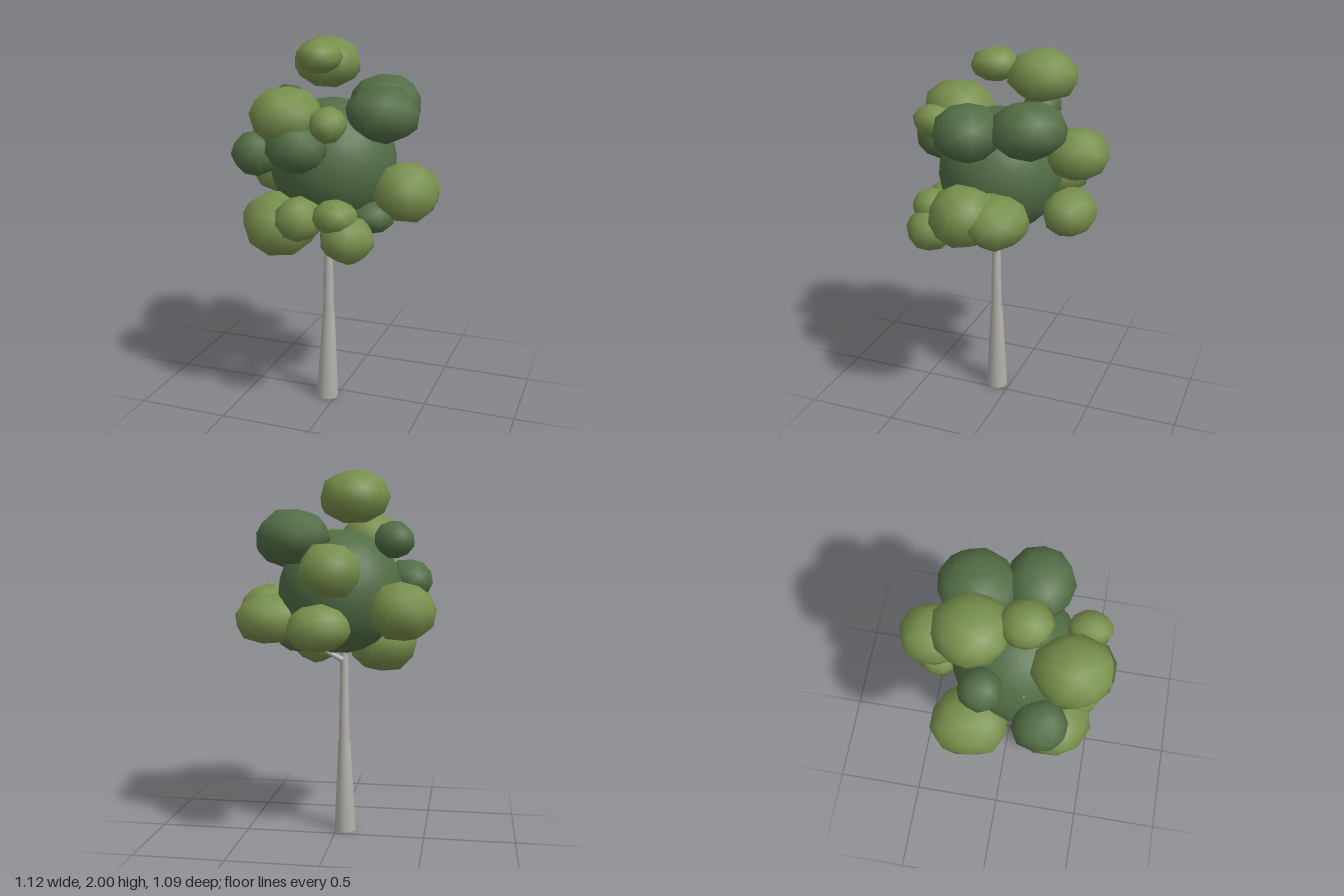
import * as THREE from 'three';
import { mergeVertices } from 'three/addons/utils/BufferGeometryUtils.js';

const lightLeaf = new THREE.MeshStandardMaterial({ color: 0x788f4c });
lightLeaf.name = 'lightLeaf';
const darkLeaf = new THREE.MeshStandardMaterial({ color: 0x526d45 });
darkLeaf.name = 'darkLeaf';
const bark = new THREE.MeshStandardMaterial({ color: 0xb7b4ad });
bark.name = 'bark';

// Seeded random numbers for the slightly uneven leaf clumps
function seeded(seed) {
  let s = seed * 7919 + 17;
  return () => (s = (s * 16807) % 2147483647) / 2147483647;
}

// Join all corners so that shading can run smoothly over every edge
function weld(geo) {
  geo.deleteAttribute('uv');
  geo.deleteAttribute('normal');
  return mergeVertices(geo, 1e-4);
}

// Smooth-shaded low-poly sphere, turned and roughened, then stretched to its radii
function clump(name, material, [x, y, z, rx, ry, rz], seed, detail = 1, rough = 0.05) {
  const rand = seeded(seed);
  const geo = weld(new THREE.IcosahedronGeometry(1, detail));
  geo.rotateX(rand() * 6).rotateY(rand() * 6);
  const p = geo.attributes.position;
  for (let i = 0; i < p.count; i++) {
    const k = 1.025 + (rand() - 0.5) * 2 * rough;
    p.setXYZ(i, p.getX(i) * k * rx, p.getY(i) * k * ry, p.getZ(i) * k * rz);
  }
  geo.computeVertexNormals();
  const mesh = new THREE.Mesh(geo, material);
  mesh.name = name;
  mesh.position.set(x, y, z);
  return mesh;
}

// Tapered round limb between two points, shaded smoothly over its ends
function limb(name, from, to, r0, r1) {
  const a = new THREE.Vector3(...from);
  const d = new THREE.Vector3(...to).sub(a);
  const geo = weld(new THREE.CylinderGeometry(r1, r0, d.length(), 12));
  geo.computeVertexNormals();
  const mesh = new THREE.Mesh(geo, bark);
  mesh.name = name;
  mesh.position.copy(a).addScaledVector(d, 0.5);
  mesh.quaternion.setFromUnitVectors(new THREE.Vector3(0, 1, 0), d.normalize());
  return mesh;
}

// Each clump: centre x, y, z, then radii x, y, z
const lightClumps = [
  [-0.13, 1.86, -0.155, 0.182, 0.135, 0.182],
  [-0.08, 1.91, 0.09, 0.12, 0.088, 0.125],
  [-0.165, 1.635, 0.335, 0.177, 0.15, 0.195],
  [0.07, 1.615, 0.38, 0.09, 0.09, 0.11],
  [-0.38, 1.27, -0.14, 0.18, 0.155, 0.2],
  [-0.035, 1.49, -0.38, 0.16, 0.14, 0.165],
  [0.03, 1.195, -0.37, 0.165, 0.12, 0.14],
  [0.385, 1.235, 0.08, 0.17, 0.155, 0.175],
  [0.345, 1.215, -0.075, 0.195, 0.135, 0.165],
  [-0.24, 1.06, 0.265, 0.2, 0.17, 0.2],
  [-0.09, 1.125, 0.37, 0.12, 0.115, 0.125],
  [0.165, 1.04, 0.37, 0.14, 0.12, 0.13],
  [0.11, 1.155, 0.39, 0.115, 0.09, 0.1],
];
const darkClumps = [
  [0.19, 1.655, -0.19, 0.195, 0.143, 0.195],
  [0.265, 1.635, 0.105, 0.19, 0.145, 0.175],
  [-0.33, 1.64, -0.085, 0.105, 0.095, 0.105],
  [-0.385, 1.415, 0.215, 0.135, 0.115, 0.14],
  [-0.09, 1.495, 0.4, 0.155, 0.125, 0.145],
  [0.22, 1.105, 0.13, 0.12, 0.09, 0.14],
];

export function createModel() {
  const tree = new THREE.Group();
  tree.name = 'tree';

  // Trunk in two steps, with branches running into the crown
  tree.add(
    limb('lowerTrunk', [-0.05, 0, 0.077], [-0.043, 0.515, 0.075], 0.062, 0.034),
    limb('upperTrunk', [-0.043, 0.505, 0.075], [-0.042, 1.04, 0.075], 0.031, 0.021),
    limb('sideBranch', [-0.035, 0.98, 0.06], [0.15, 1.08, 0.033], 0.018, 0.005),
    limb('innerBranch', [-0.042, 1.0, 0.075], [-0.3, 1.54, 0.12], 0.018, 0.005)
  );

  // Crown: a large round core surrounded by clumps
  const crown = new THREE.Group();
  crown.name = 'crown';
  crown.add(clump('crownCore', darkLeaf, [-0.025, 1.36, 0.04, 0.33, 0.33, 0.32], 1, 4, 0));
  lightClumps.forEach((c, i) => crown.add(clump('lightClump' + (i + 1), lightLeaf, c, i + 2)));
  darkClumps.forEach((c, i) => crown.add(clump('darkClump' + (i + 1), darkLeaf, c, i + 40)));
  tree.add(crown);
  return tree;
}
